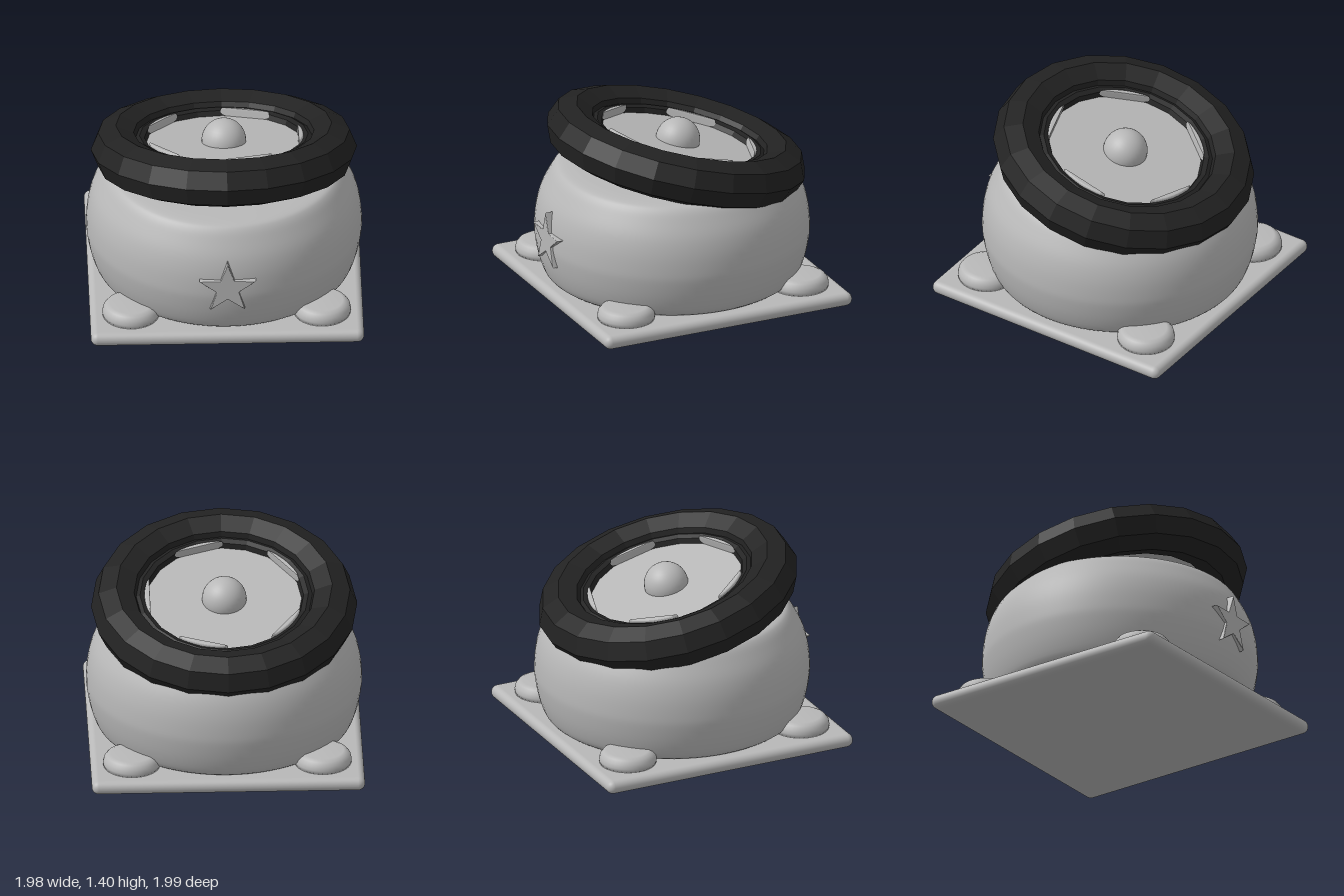
import * as THREE from 'three';
import { RoundedBoxGeometry } from 'three/addons/geometries/RoundedBoxGeometry.js';

export function createModel() {
  const model = new THREE.Group();
  const grey = new THREE.MeshStandardMaterial({ color: 0xb8b8b8 });
  grey.name = 'light grey';
  const black = new THREE.MeshStandardMaterial({ color: 0x222222, flatShading: true });
  black.name = 'rubber black';

  function add(name, geometry, material, parent, x = 0, y = 0, z = 0) {
    const mesh = new THREE.Mesh(geometry, material);
    mesh.name = name;
    mesh.position.set(x, y, z);
    parent.add(mesh);
    return mesh;
  }
  const lathe = (points, segments) =>
    new THREE.LatheGeometry(points.map(([r, y]) => new THREE.Vector2(r, y)), segments);

  const cz = -0.005;

  // Square base plate with rounded rim
  add('basePlate', new RoundedBoxGeometry(1.96, 0.1, 1.96, 4, 0.049), grey, model, 0, 0.05, cz);

  // Four round feet holding the body
  const foot = lathe([[0.0, 0], [0.205, 0], [0.207, 0.03], [0.2, 0.06], [0.18, 0.085], [0.15, 0.1], [0, 0.1]], 40);
  for (const sx of [-1, 1]) for (const sz of [-1, 1])
    add('foot', foot, grey, model, sx * 0.685, 0.1, cz + sz * 0.69);

  // Bulging round body
  const side = new THREE.SplineCurve([
    [0.87, 0.1], [0.92, 0.14], [0.96, 0.25], [0.985, 0.38], [0.989, 0.47],
    [0.977, 0.6], [0.945, 0.72], [0.89, 0.83], [0.845, 0.9], [0.8, 0.928], [0.7, 0.938],
  ].map(([r, y]) => new THREE.Vector2(r, y))).getPoints(40).map((p) => [p.x, p.y]);
  add('body', lathe([[0, 0.1], ...side, [0.4, 0.945], [0, 0.945]], 72), grey, model, 0, 0, cz);

  // Raised star on the front
  const star = new THREE.Shape();
  for (let i = 0; i < 10; i++) {
    const r = i % 2 ? 0.078 : 0.205;
    const a = Math.PI / 2 + (i * Math.PI) / 5;
    star[i ? 'lineTo' : 'moveTo'](r * Math.cos(a), r * Math.sin(a));
  }
  star.closePath();
  add('star', new THREE.ExtrudeGeometry(star, {
    depth: 0.06, bevelEnabled: true, bevelThickness: 0.008, bevelSize: 0.006, bevelSegments: 2,
  }), grey, model, 0, 0.5, 0.932);

  // Tilted wheel resting on the body
  const wheel = new THREE.Group();
  wheel.name = 'wheel';
  wheel.position.set(0, 1.04, -0.037);
  wheel.rotation.x = -0.242;
  model.add(wheel);

  add('tyre', new THREE.TorusGeometry(0.775, 0.18, 8, 20).rotateX(-Math.PI / 2), black, wheel);
  add('innerRim', new THREE.TorusGeometry(0.605, 0.05, 8, 20).rotateX(-Math.PI / 2), black, wheel, 0, 0.05, 0);
  add('wheelDisc', new THREE.CylinderGeometry(0.6, 0.6, 0.05, 40), grey, wheel, 0, 0.025, 0);

  // Five raised wedge spokes, each a tenth of a turn wide
  const wedge = new THREE.Shape();
  wedge.moveTo(0, 0);
  wedge.absarc(0, 0, 0.56, Math.PI * 0.305, Math.PI * 0.495, false);
  wedge.closePath();
  const spoke = new THREE.ExtrudeGeometry(wedge, {
    depth: 0.05, bevelEnabled: true, bevelThickness: 0.015, bevelSize: 0.012, bevelSegments: 3, curveSegments: 8,
  }).rotateX(-Math.PI / 2);
  for (let i = 0; i < 5; i++)
    add('spoke', spoke, grey, wheel, 0, 0.045, 0).rotation.y = (i * Math.PI * 2) / 5;

  // Domed hub
  add('hub', new THREE.SphereGeometry(0.16, 32, 20), grey, wheel, 0, 0.06, 0);

  return model;
}
